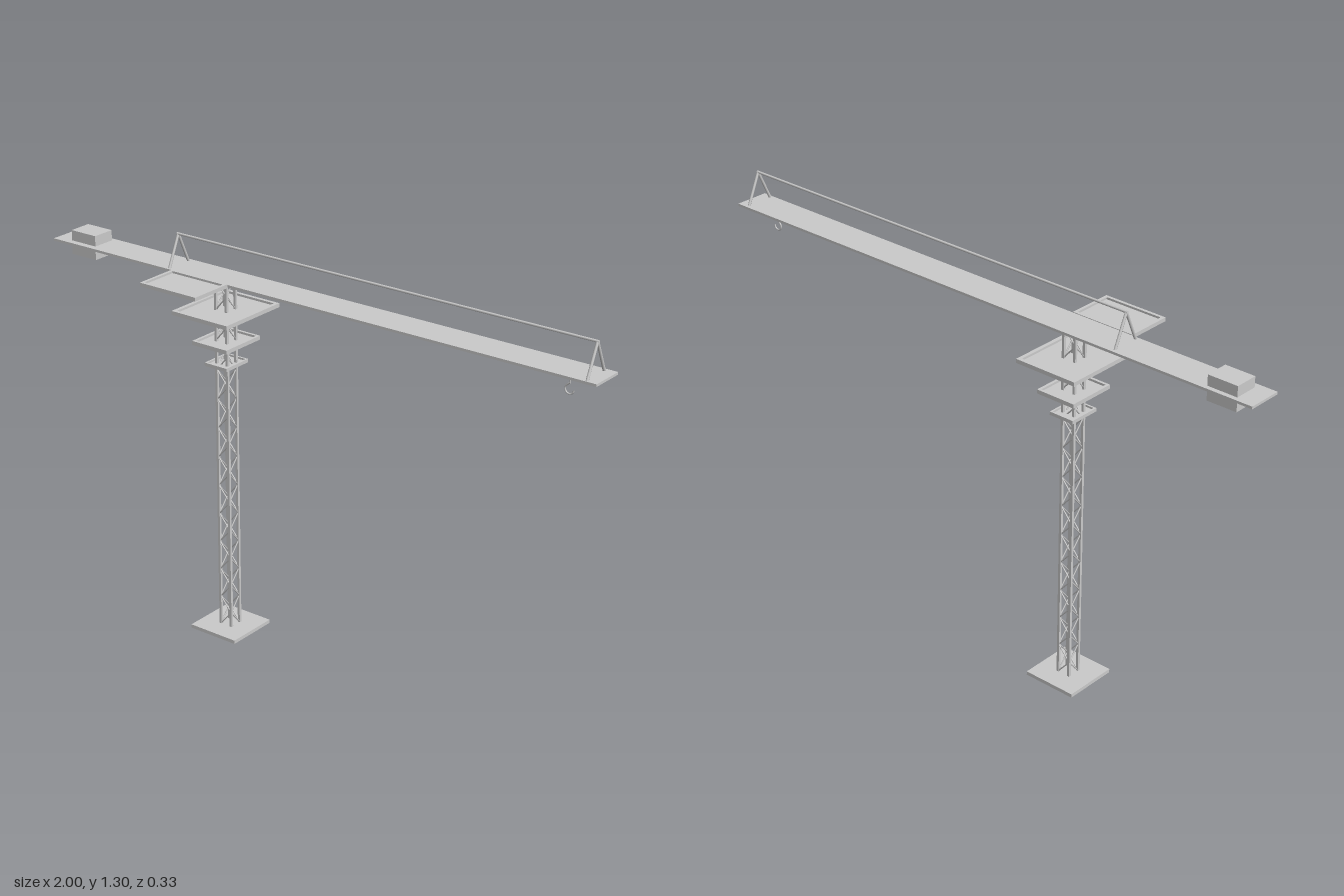
import * as THREE from 'three';

const mat = new THREE.MeshStandardMaterial({ color: 0xcccccc });
const MX = -0.338, MZ = -0.039; // mast axis
const V = (x, y, z) => new THREE.Vector3(x, y, z);

function box(parent, name, x0, x1, y0, y1, z0, z1) {
  const m = new THREE.Mesh(new THREE.BoxGeometry(x1 - x0, y1 - y0, z1 - z0), mat);
  m.position.set((x0 + x1) / 2, (y0 + y1) / 2, (z0 + z1) / 2);
  m.name = name;
  parent.add(m);
  return m;
}

// round bar between two points
function bar(parent, name, a, b, r, sides = 8) {
  const m = new THREE.Mesh(new THREE.CylinderGeometry(r, r, a.distanceTo(b), sides), mat);
  m.position.copy(a).add(b).multiplyScalar(0.5);
  m.quaternion.setFromUnitVectors(V(0, 1, 0), b.clone().sub(a).normalize());
  m.name = name;
  parent.add(m);
  return m;
}

// floor plate with a raised rim
function tray(parent, name, x0, x1, y0, y1, z0, z1, rim) {
  const g = new THREE.Group();
  g.name = name;
  parent.add(g);
  const yf = y0 + (y1 - y0) * 0.45;
  box(g, 'floor', x0, x1, y0, yf, z0, z1);
  box(g, 'rimLeft', x1 - rim, x1, yf, y1, z0, z1);
  box(g, 'rimRight', x0, x0 + rim, yf, y1, z0, z1);
  box(g, 'rimFront', x0 + rim, x1 - rim, yf, y1, z1 - rim, z1);
  box(g, 'rimBack', x0 + rim, x1 - rim, yf, y1, z0, z0 + rim);
}

export function createModel() {
  const crane = new THREE.Group();
  crane.name = 'towerCrane';

  // foundation
  box(crane, 'basePlate', MX - 0.09, MX + 0.09, 0, 0.012, MZ - 0.09, MZ + 0.09);

  // lattice mast: four legs and zigzag bracing on each side
  const mast = new THREE.Group();
  mast.name = 'mast';
  crane.add(mast);
  const h = 0.021, y0 = 0.012, y1 = 1.192, t = 0.0042;
  for (const sx of [-1, 1]) for (const sz of [-1, 1]) {
    const x = MX + sx * h, z = MZ + sz * h;
    box(mast, 'mastLeg', x - t, x + t, y0, y1, z - t, z + t);
  }
  const n = 24, step = (y1 - y0) / n;
  for (let side = 0; side < 4; side++) {
    const along = side % 2 === 0, s = side < 2 ? 1 : -1;
    const corner = (u, y) => along ? V(MX + u * h, y, MZ + s * h) : V(MX + s * h, y, MZ + u * h);
    for (let i = 0; i < n; i++) {
      const u = i % 2 ? s : -s;
      bar(mast, 'mastBrace', corner(u, y0 + i * step), corner(-u, y0 + (i + 1) * step), 0.0022, 6);
    }
  }

  // platforms around the mast: half width, half depth, bottom, top, rim
  for (const [w, d, a, b, rim] of [
    [0.043, 0.053, 0.913, 0.924, 0.006],
    [0.068, 0.081, 0.985, 0.998, 0.009],
    [0.108, 0.127, 1.087, 1.1, 0.012],
  ]) tray(crane, 'mastPlatform', MX - w, MX + w, a, b, MZ - d, MZ + d, rim);

  // jib deck with trolley rail below
  box(crane, 'jibDeck', -1, 1, 1.19, 1.198, -0.098, 0.015);
  box(crane, 'trolleyRail', -0.97, 0.97, 1.187, 1.19, MZ - 0.005, MZ + 0.005);

  // side platform beside the jib
  tray(crane, 'sidePlatform', -0.503, -0.285, 1.188, 1.2, 0.015, 0.164, 0.01);

  // counterweight
  box(crane, 'counterweight', -0.94, -0.84, 1.153, 1.232, -0.083, -0.006);

  // A-frames and tie bar
  const frames = [-0.522, 0.965];
  for (const x of frames) {
    const frame = new THREE.Group();
    frame.name = 'aFrame';
    crane.add(frame);
    for (const s of [-1, 1])
      bar(frame, 'frameLeg', V(x, 1.194, MZ + s * 0.046), V(x, 1.297, MZ), 0.0045);
  }
  bar(crane, 'tieBar', V(frames[0] - 0.004, 1.297, MZ), V(frames[1] + 0.004, 1.297, MZ), 0.0042);

  // trolley and hook
  const hx = 0.886;
  box(crane, 'trolley', hx - 0.016, hx + 0.016, 1.179, 1.19, MZ - 0.012, MZ + 0.012);
  bar(crane, 'hoistRope', V(hx, 1.18, MZ), V(hx, 1.155, MZ), 0.0018, 6);
  const hookPath = new THREE.CatmullRomCurve3([
    V(hx, 1.157, MZ), V(hx - 0.008, 1.151, MZ), V(hx - 0.015, 1.14, MZ), V(hx - 0.011, 1.128, MZ),
    V(hx, 1.124, MZ), V(hx + 0.01, 1.129, MZ), V(hx + 0.013, 1.138, MZ),
  ]);
  const hook = new THREE.Mesh(new THREE.TubeGeometry(hookPath, 28, 0.0024, 8), mat);
  hook.name = 'hook';
  crane.add(hook);

  return crane;
}
